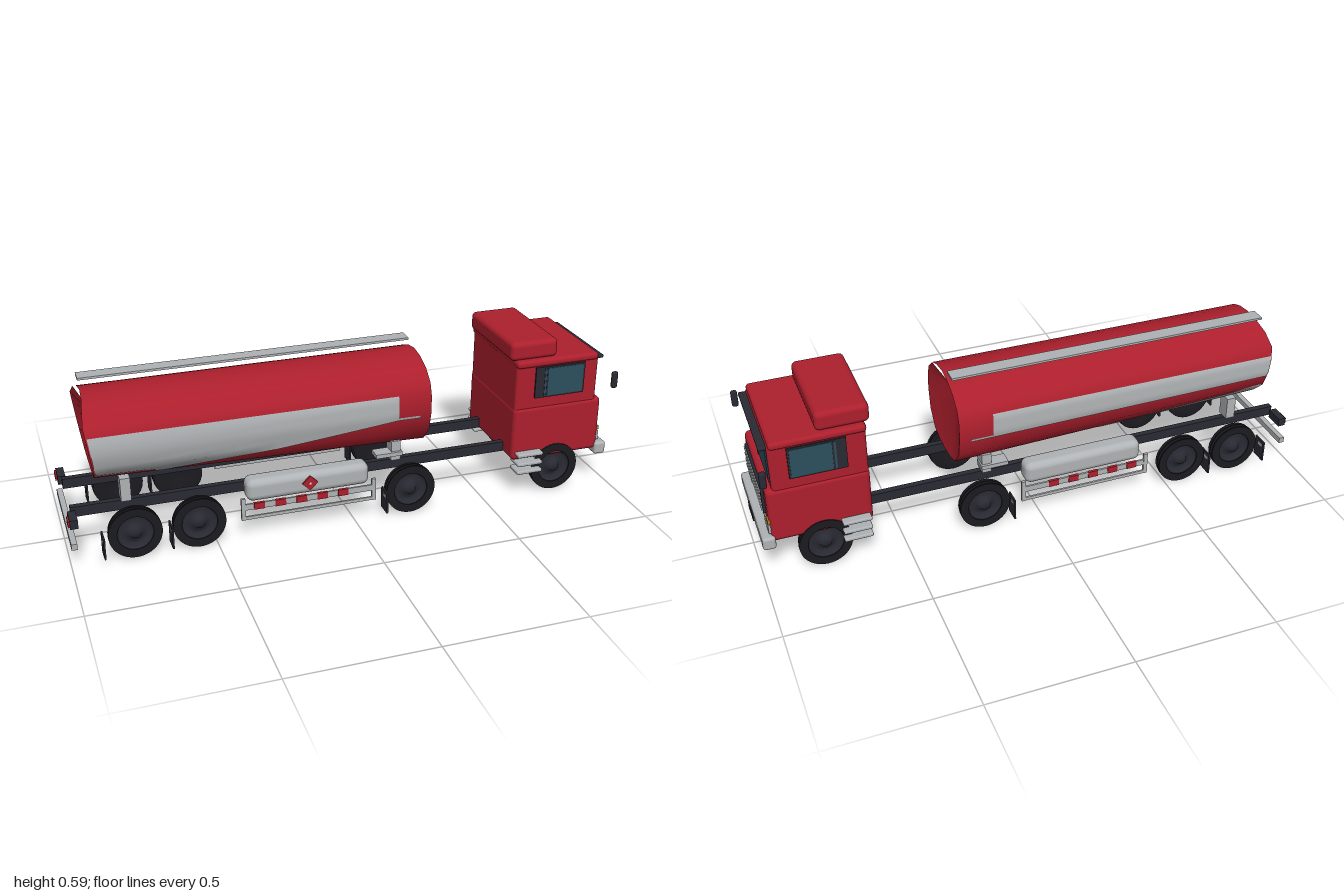
import * as THREE from 'three';
import { toCreasedNormals } from 'three/addons/utils/BufferGeometryUtils.js';
import { RoundedBoxGeometry } from 'three/addons/geometries/RoundedBoxGeometry.js';

const mat = (name, color, side = THREE.FrontSide) => {
  const m = new THREE.MeshStandardMaterial({ color, side });
  m.name = name;
  return m;
};

export function createModel() {
  const red = mat('red paint', 0xad1f2d);
  const silver = mat('silver', 0xb0b3b5, THREE.DoubleSide);
  const dark = mat('dark grey', 0x2a2a34, THREE.DoubleSide);
  const black = mat('tyre black', 0x1b1b20, THREE.DoubleSide);
  const glass = mat('tinted glass', 0x2b505e);
  const amber = mat('amber', 0xc98a20);
  const white = mat('white', 0xd0d0d0);

  const root = new THREE.Group();
  root.name = 'tankerTruck';
  const add = (name, geo, m, parent = root) => {
    const mesh = new THREE.Mesh(geo, m);
    mesh.name = name;
    parent.add(mesh);
    return mesh;
  };
  // Box given by its limits on each axis, optionally rounded
  const box = (name, m, x0, x1, y0, y1, z0, z1, r = 0) => {
    const s = [x1 - x0, y1 - y0, Math.abs(z1 - z0)];
    const g = r ? new RoundedBoxGeometry(...s, 3, r) : new THREE.BoxGeometry(...s);
    const mesh = add(name, g, m);
    mesh.position.set((x0 + x1) / 2, (y0 + y1) / 2, (z0 + z1) / 2);
    return mesh;
  };
  // The same box on both sides of the truck
  const pair = (name, m, x0, x1, y0, y1, z0, z1, r = 0) => {
    for (const s of [1, -1]) box(name, m, x0, x1, y0, y1, s * z0, s * z1, r);
  };
  // Grid surface from a point function
  const grid = (nu, nv, fn) => {
    const pos = [], idx = [];
    for (let i = 0; i <= nu; i++) for (let j = 0; j <= nv; j++) pos.push(...fn(i / nu, j / nv));
    for (let i = 0; i < nu; i++) for (let j = 0; j < nv; j++) {
      const a = i * (nv + 1) + j, b = a + nv + 1;
      idx.push(a, a + 1, b, b, a + 1, b + 1);
    }
    const g = new THREE.BufferGeometry();
    g.setAttribute('position', new THREE.Float32BufferAttribute(pos, 3));
    g.setIndex(idx);
    g.computeVertexNormals();
    return g;
  };

  // ---- Tank: half section as [half width, height], lower part rises to the rear
  const half = [[0, 0.555], [0.06, 0.546], [0.115, 0.524], [0.16, 0.485], [0.176, 0.44], [0.178, 0.38],
    [0.162, 0.305], [0.115, 0.25], [0.06, 0.234], [0, 0.23]];
  const ring = [...half, ...half.slice(1, -1).reverse().map(([w, y]) => [-w, y]), half[0]];
  const n = ring.length - 1;
  const shoulder = 2;
  const tankPoint = (x, y, z) => {
    const t = (0.29 - x) / 1.18;
    const lifted = y + 0.035 * t * Math.max(0, (0.45 - y) / 0.22);
    const lean = lifted < 0.5 ? 0.03 * (lifted - 0.27) / 0.23 : 0.03 - 0.02 * (lifted - 0.5) / 0.055;
    return [x - t * lean, lifted, z];
  };
  const widthAt = (y) => {
    const i = half.findIndex((p) => p[1] <= y);
    const [w0, y0] = half[i - 1], [w1, y1] = half[i];
    return w0 + (w1 - w0) * (y - y0) / (y1 - y0);
  };
  add('tankShell', toCreasedNormals(grid(6, n, (u, v) => {
    const [z, y] = ring[Math.round(v * n)];
    return tankPoint(-0.89 + 1.18 * u, y, z);
  }), 1.1), red);
  // Dished ends, open above the shoulders
  const m = n - 2 * shoulder;
  const tankEnd = (name, x, depth, k) => add(name, toCreasedNormals(grid(1, m, (u, v) => {
    const [z, y] = ring[shoulder + Math.round(v * m)];
    const [px, py] = tankPoint(x, y, z);
    const c = k(u);
    return [px + depth * c, py + (0.46 - py) * c, z * (1 - c)];
  }), 0.5), red);
  tankEnd('tankFrontEnd', 0.29, -0.05, (u) => u);
  tankEnd('tankRearEnd', -0.89, 0.05, (u) => 1 - u);

  // Painted panels that follow the tank side
  const panel = (name, side, x0, x1, top, bottom) => add(name, grid(24, 8, (u, v) => {
    const x = x0 + (x1 - x0) * u;
    const y = top(x) + (bottom(x) - top(x)) * v;
    return tankPoint(x, y, side * (widthAt(y) + 0.004));
  }), silver);
  for (const s of [1, -1]) {
    const low = s > 0 ? 0.245 : 0.36;
    const rise = s > 0 ? 0 : 0.075;
    panel('tankSidePanel', s, -0.885, 0.17, () => 0.455, (x) => low + Math.max(0, (x + 0.72) / 0.89) * (0.362 - low));
    panel('tankPanelTail', s, 0.17, 0.25, () => 0.372, () => 0.362);
    panel('tankLowerStripe', s, -0.88, 0.1, (x) => 0.244 + rise * Math.max(0, (-0.2 - x) / 0.7), () => 0.236);
  }
  box('walkway', silver, -0.9, 0.285, 0.57, 0.578, -0.1, -0.045);
  pair('tankSupport', silver, -0.81, -0.775, 0.185, 0.27, 0.08, 0.13);
  pair('tankSupport', silver, 0.16, 0.195, 0.185, 0.26, 0.08, 0.13);
  pair('tankBracket', silver, 0.1, 0.2, 0.205, 0.22, 0.09, 0.14);

  // ---- Chassis
  pair('frameRail', dark, -0.98, 0.63, 0.148, 0.185, 0.095, 0.117);
  pair('tailLampHousing', dark, -0.992, -0.965, 0.148, 0.18, 0.13, 0.2);
  pair('tailLamp', red, -0.998, -0.992, 0.153, 0.175, 0.155, 0.195);
  box('rearUnderrunBar', silver, -0.995, -0.975, 0.072, 0.094, -0.205, 0.205);

  // ---- Wheels: open stacked rings with a dished hub
  const ringShape = new THREE.Shape().absarc(0, 0, 0.092, 0, Math.PI * 2);
  ringShape.holes.push(new THREE.Path().absarc(0, 0, 0.062, 0, Math.PI * 2));
  const wallGeo = new THREE.ExtrudeGeometry(ringShape, { depth: 0.004, bevelEnabled: false, curveSegments: 28 });
  const dish = (pts) => new THREE.LatheGeometry(pts.map((p) => new THREE.Vector2(...p)), 28).rotateX(Math.PI / 2);
  const hubGeo = dish([[0, 0.018], [0.018, 0.018], [0.024, 0.004], [0.05, -0.006], [0.062, 0.012], [0.068, 0.016]]);
  const backGeo = dish([[0, -0.012], [0.025, -0.012], [0.055, -0.023], [0.09, -0.017]]);
  for (const x of [-0.78, -0.56, 0.21, 0.78]) {
    for (const s of [1, -1]) {
      const wheel = new THREE.Group();
      wheel.name = 'wheel';
      wheel.position.set(x, 0.097, s * 0.184);
      wheel.rotation.y = s > 0 ? 0 : Math.PI;
      add('tyreOuterWall', wallGeo, black, wheel).position.z = 0.014;
      add('tyreMiddle', wallGeo, black, wheel).position.z = -0.002;
      add('hub', hubGeo, dark, wheel);
      add('tyreInnerWall', backGeo, black, wheel);
      root.add(wheel);
    }
  }
  for (const x of [-0.89, -0.66, 0.11]) {
    pair('mudFlap', dark, x - 0.003, x + 0.003, 0.032, 0.112, 0.175, 0.234);
    pair('flapBracket', silver, x - 0.005, x + 0.005, 0.088, 0.1, 0.2, 0.225);
  }

  // ---- Side tanks and striped guards
  pair('sideTank', silver, -0.39, 0.055, 0.14, 0.222, 0.125, 0.2, 0.025);
  pair('guardLowerRail', silver, -0.415, 0.075, 0.082, 0.094, 0.2, 0.207);
  pair('guardUpperRail', silver, -0.4, 0.06, 0.12, 0.142, 0.2, 0.207);
  pair('guardPost', silver, -0.415, -0.4, 0.082, 0.165, 0.198, 0.208);
  pair('guardPost', silver, 0.06, 0.075, 0.082, 0.165, 0.198, 0.208);
  for (let i = 0; i < 5; i++) {
    const x = -0.37 + i * 0.076;
    pair('guardStripe', red, x, x + 0.038, 0.119, 0.143, 0.199, 0.209);
  }
  box('warningDiamond', red, -0.19, -0.15, 0.172, 0.212, 0.21, 0.216).rotation.z = Math.PI / 4;
  box('warningMark', white, -0.174, -0.166, 0.188, 0.196, 0.216, 0.218).rotation.z = Math.PI / 4;

  // ---- Cab
  box('cabBody', red, 0.61, 0.935, 0.145, 0.52, -0.19, 0.19, 0.012);
  box('cabLowerBody', red, 0.608, 0.958, 0.14, 0.35, -0.195, 0.195, 0.018);
  box('cabRoof', red, 0.608, 0.93, 0.504, 0.532, -0.199, 0.199, 0.012);
  box('roofFairing', red, 0.59, 0.772, 0.528, 0.598, -0.18, 0.18, 0.018);
  box('sunVisor', dark, 0.925, 0.96, 0.5, 0.513, -0.18, 0.18, 0.005);
  box('windscreen', glass, 0.933, 0.939, 0.37, 0.5, -0.167, 0.167);
  box('windscreenPillar', dark, 0.937, 0.942, 0.37, 0.5, -0.003, 0.003);
  pair('sideWindowFrame', dark, 0.68, 0.875, 0.386, 0.504, 0.195, 0.201);
  pair('sideWindow', glass, 0.715, 0.868, 0.392, 0.498, 0.198, 0.203);
  pair('windowDivider', dark, 0.722, 0.728, 0.392, 0.498, 0.199, 0.204);

  // Grille, lamps, bumper
  box('grille', dark, 0.95, 0.967, 0.23, 0.328, -0.148, 0.148, 0.006);
  for (let i = 0; i < 4; i++) {
    const y = 0.244 + i * 0.0235;
    box('grilleBar', silver, 0.965, 0.971, y - 0.003, y + 0.003, -0.139, 0.139);
  }
  pair('headlamp', silver, 0.95, 0.963, 0.175, 0.21, 0.116, 0.187);
  pair('indicator', amber, 0.95, 0.963, 0.216, 0.23, 0.16, 0.188);
  box('bumper', silver, 0.945, 0.99, 0.12, 0.168, -0.205, 0.205, 0.01);
  box('numberPlate', dark, 0.989, 0.994, 0.13, 0.158, -0.041, 0.041);
  pair('towMount', dark, 0.92, 0.96, 0.112, 0.125, 0.103, 0.123);

  // Mirrors and steps
  pair('mirror', dark, 0.955, 0.978, 0.412, 0.475, 0.246, 0.264, 0.008);
  for (const y of [0.102, 0.134, 0.17]) {
    pair('step', silver, 0.62, 0.72, y - 0.007, y + 0.007, 0.16, 0.225, 0.005);
  }
  return root;
}
